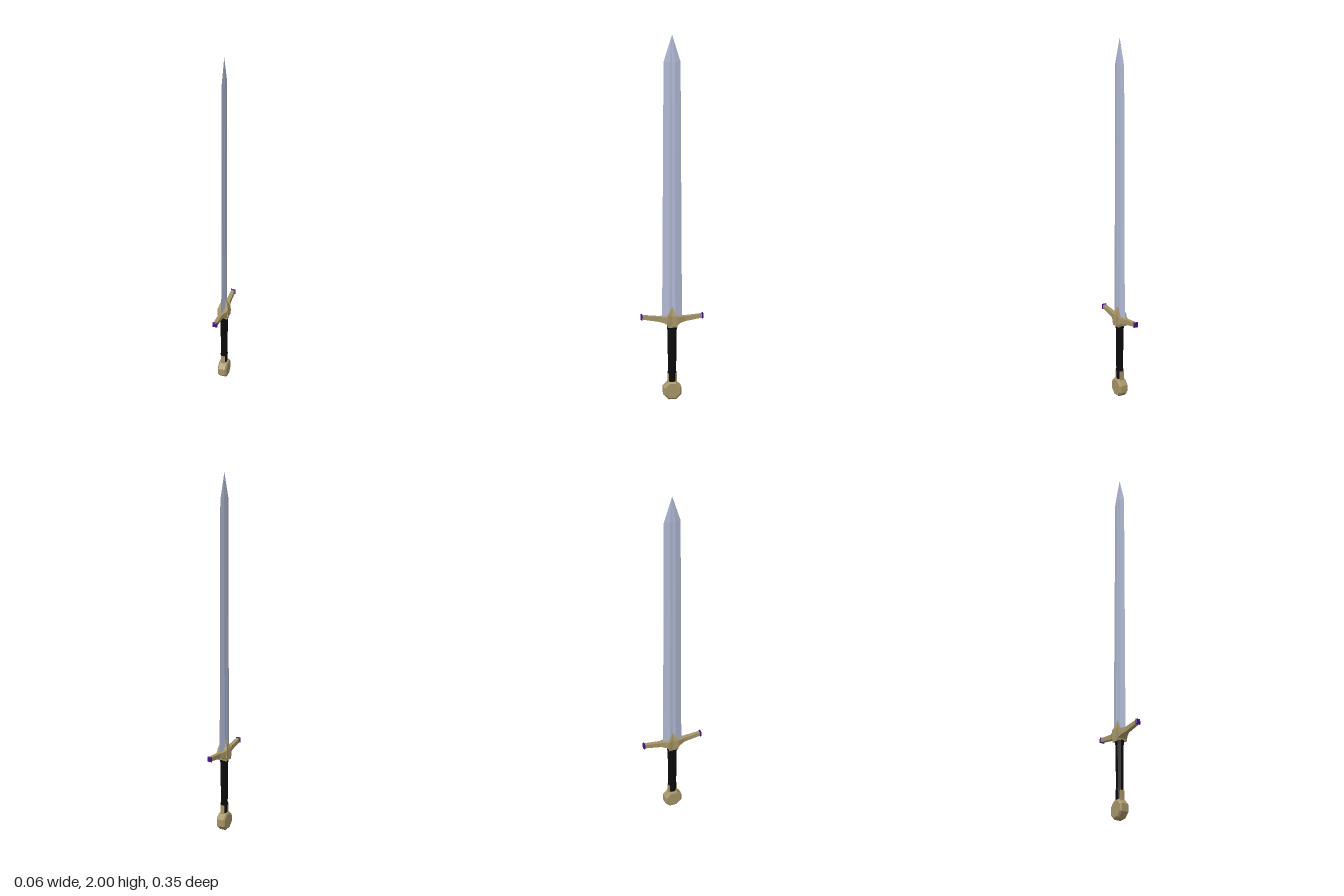
import * as THREE from 'three';

// Skin a list of rings; ring points run counter-clockwise about the loft direction.
function loft(rings) {
  const pos = [], tri = (a, b, c) => pos.push(...a, ...b, ...c);
  const n = rings[0].length;
  for (let r = 0; r < rings.length - 1; r++) {
    for (let i = 0; i < n; i++) {
      const j = (i + 1) % n, a = rings[r], b = rings[r + 1];
      tri(a[i], a[j], b[j]);
      tri(a[i], b[j], b[i]);
    }
  }
  const centre = (ring) => [0, 1, 2].map((k) => ring.reduce((s, p) => s + p[k], 0) / n);
  const first = rings[0], last = rings[rings.length - 1];
  const c0 = centre(first), c1 = centre(last);
  for (let i = 0; i < n; i++) {
    const j = (i + 1) % n;
    tri(c0, first[j], first[i]);
    tri(c1, last[i], last[j]);
  }
  const g = new THREE.BufferGeometry();
  g.setAttribute('position', new THREE.Float32BufferAttribute(pos, 3));
  g.computeVertexNormals();
  return g;
}

// Rectangle across z, given half width and height range
const rectZ = ([z, w, y0, y1]) => [[w, y0, z], [w, y1, z], [-w, y1, z], [-w, y0, z]];

// Bevelled hexagonal blade section with a shallow central fuller
const bladeRing = ([y, t, w]) => [
  [t * 0.8, 0], [t, -0.3 * w], [0, -w], [-t, -0.3 * w],
  [-t * 0.8, 0], [-t, 0.3 * w], [0, w], [t, 0.3 * w],
].map(([x, z]) => [x, y, z]);

// Guard block section, notched in the middle of each broad side
const hubRing = ([y, x, z, notch]) => [
  [x - notch, 0], [x, -z], [-x, -z], [-x + notch, 0], [-x, z], [x, z],
].map(([px, pz]) => [px, y, pz]);

export function createModel() {
  const model = new THREE.Group();
  const mat = (name, color) => {
    const m = new THREE.MeshStandardMaterial({ color, flatShading: true });
    m.name = name;
    return m;
  };
  const steel = mat('steel', 0xb0b9d4);
  const gold = mat('dull gold', 0xa59467);
  const leather = mat('black leather', 0x0b0b0b);
  const purple = mat('purple', 0x45108c);
  const add = (name, geometry, material, parent = model) => {
    const m = new THREE.Mesh(geometry, material);
    m.name = name;
    parent.add(m);
    return m;
  };

  // Blade
  add('blade', loft([
    [0.44, 0.012, 0.055], [1.86, 0.008, 0.045], [2, 0.0005, 0.0005],
  ].map(bladeRing)), steel);

  // Guard: central block with pointed langets, and two arms with end caps
  add('guardBlock', loft([
    [0.415, 0.027, 0.026, 0.003], [0.44, 0.03, 0.028, 0.006],
    [0.48, 0.03, 0.025, 0.006], [0.527, 0.013, 0.002, 0],
  ].map(hubRing)), gold);
  for (const side of [1, -1]) {
    const arm = new THREE.Group();
    arm.name = side > 0 ? 'frontGuardArm' : 'backGuardArm';
    arm.rotation.y = side > 0 ? 0 : Math.PI;
    add('arm', loft([
      [0, 0.024, 0.42, 0.478], [0.025, 0.027, 0.425, 0.478], [0.04, 0.022, 0.438, 0.474],
      [0.07, 0.011, 0.446, 0.474], [0.167, 0.01, 0.463, 0.484],
    ].map(rectZ)), gold, arm);
    add('armCap', loft([
      [0.163, 0.011, 0.461, 0.486], [0.166, 0.013, 0.459, 0.488],
      [0.17, 0.013, 0.459, 0.488], [0.173, 0.01, 0.462, 0.485],
    ].map(rectZ)), purple, arm);
    model.add(arm);
  }

  // Grip: tapered eight-sided wrap with a collar at each end
  const grip = (name, y0, y1, r0, r1) => {
    const g = new THREE.CylinderGeometry(r1, r0, y1 - y0, 8);
    g.rotateY(Math.PI / 8);
    g.scale(0.82, 1, 1.08);
    g.translate(0, (y0 + y1) / 2, 0);
    add(name, g, leather);
  };
  grip('grip', 0.09, 0.41, 0.021, 0.025);
  grip('upperCollar', 0.4, 0.418, 0.027, 0.028);
  grip('lowerCollar', 0.146, 0.156, 0.024, 0.024);

  // Gold plates on the narrow sides of the grip foot
  for (const side of [1, -1]) {
    const plate = add('gripPlate', new THREE.BoxGeometry(0.024, 0.06, 0.006), gold);
    plate.position.set(0, 0.118, side * 0.022);
  }

  // Pommel: bevelled octagonal disc facing sideways
  const k = 1 / Math.cos(Math.PI / 8);
  const profile = [[0, -0.026], [0.041, -0.026], [0.05, -0.018], [0.05, 0.018], [0.041, 0.026], [0, 0.026]]
    .map(([r, h]) => new THREE.Vector2(r * k, h));
  const disc = new THREE.LatheGeometry(profile, 8);
  disc.rotateY(Math.PI / 8);
  disc.rotateZ(Math.PI / 2);
  disc.translate(0, 0.05, 0);
  add('pommel', disc, gold);

  return model;
}
